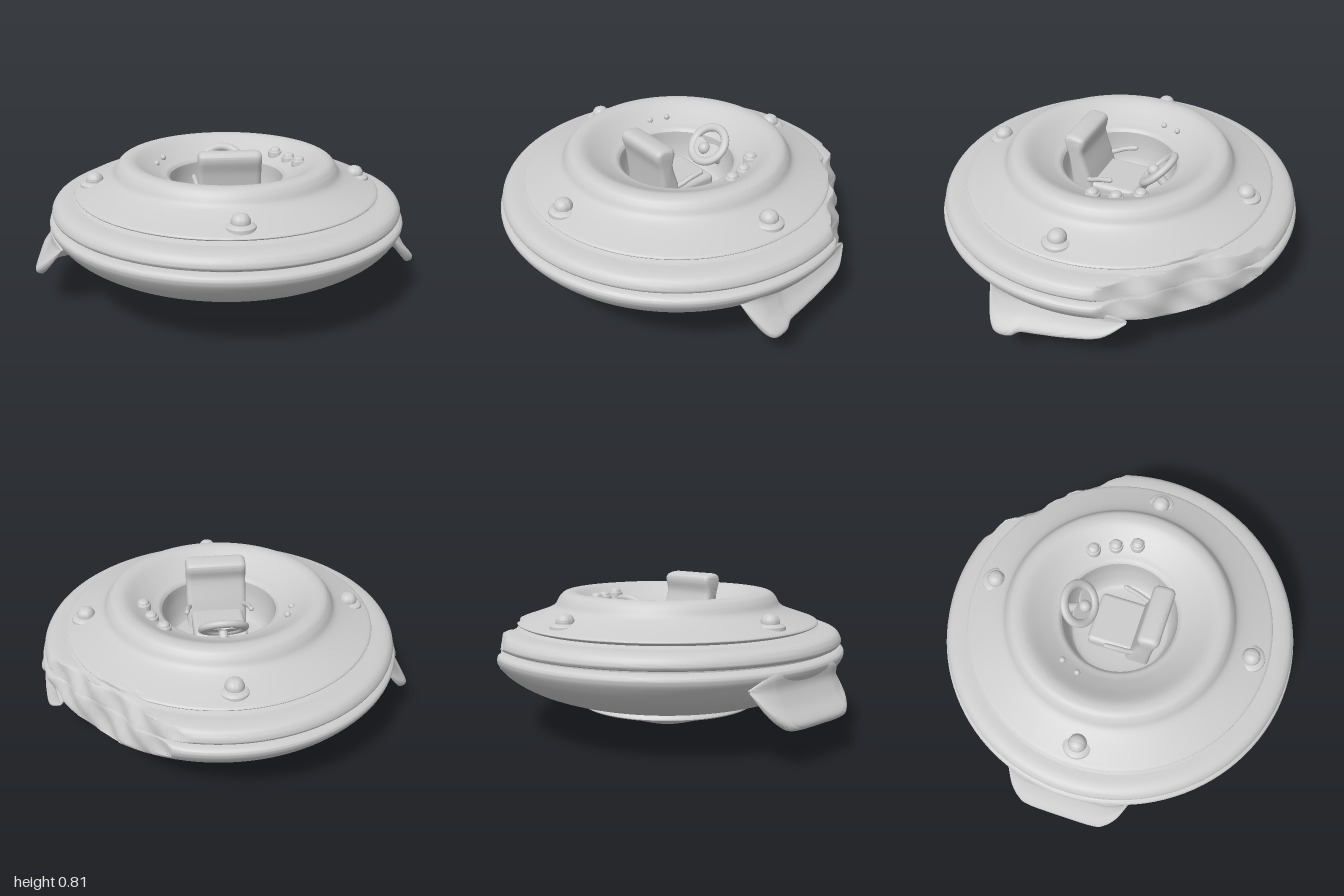
import * as THREE from 'three';
import { toCreasedNormals } from 'three/addons/utils/BufferGeometryUtils.js';
import { RoundedBoxGeometry } from 'three/addons/geometries/RoundedBoxGeometry.js';

const material = new THREE.MeshStandardMaterial({ color: 0xcccccc, side: THREE.DoubleSide });
const CX = 0.012; // axis of the saucer body

function add(parent, name, geometry, x = 0, y = 0, z = 0) {
  const mesh = new THREE.Mesh(geometry, material);
  mesh.name = name;
  mesh.position.set(x, y, z);
  parent.add(mesh);
  return mesh;
}

// Smooth curve through each run of [r, y] points, sharp where runs meet
function profile(runs) {
  const points = [];
  runs.forEach((run, i) => {
    const curve = new THREE.SplineCurve(run.map(([x, y]) => new THREE.Vector2(x, y)));
    const pts = curve.getPoints((run.length - 1) * 5);
    points.push(...(i ? pts.slice(1) : pts));
  });
  points.forEach((p) => { p.x = Math.max(p.x, 0); });
  return points;
}

function lathe(runs, segments) {
  return new THREE.LatheGeometry(profile(runs), segments);
}

// Crash damage: the rear left flank is pressed in towards a rippled plane
function dent(geometry) {
  const p = geometry.attributes.position;
  const nx = 0.72, nz = -0.694;
  for (let i = 0; i < p.count; i++) {
    const x = p.getX(i), y = p.getY(i), z = p.getZ(i);
    const d = x * nx + z * nz, t = x * -nz + z * nx; // across and along the dent
    if (d < 0.6 || y < 0.2) continue;
    const slope = y > 0.45 ? -0.35 * (y - 0.45) : 0.2 * (0.45 - y);
    const ripple = 0.014 * Math.sin(t * 17 + y * 12) + 0.009 * Math.sin(t * 31 - y * 38);
    const limit = 0.83 + slope + ripple;
    if (d > limit) {
      const push = (d - limit) * 0.96;
      p.setXYZ(i, x - nx * push, y + 0.25 * ripple, z - nz * push);
    }
  }
  return toCreasedNormals(geometry, 0.6);
}

// Fin: one cross-section lofted along z; stations are [z, reach]
function fin(stations, side) {
  const anchor = new THREE.Vector2(0.84, 0.36);
  const outline = [[0.9, 0.44], [0.905, 0.36], [0.945, 0.28], [0.998, 0.215], [0.995, 0.185],
    [0.965, 0.178], [0.935, 0.21], [0.88, 0.27], [0.78, 0.3], [0.76, 0.4]];
  const section = new THREE.CatmullRomCurve3(
    outline.map(([x, y]) => new THREE.Vector3(x, y, 0)), true, 'catmullrom', 0.4).getPoints(40);
  const path = new THREE.SplineCurve(stations.map(([z, k]) => new THREE.Vector2(z, k))).getPoints(48);
  const positions = [], index = [], n = section.length;
  path.forEach(({ x: z, y: reach }, i) => {
    section.forEach((s, j) => {
      positions.push(side * (anchor.x + (s.x - anchor.x) * reach), anchor.y + (s.y - anchor.y) * reach, z);
      if (i && j) {
        const a = (i - 1) * n + j - 1, b = i * n + j - 1, c = b + 1, d = a + 1;
        index.push(...(side > 0 ? [a, b, c, a, c, d] : [a, c, b, a, d, c]));
      }
    });
  });
  const geometry = new THREE.BufferGeometry();
  geometry.setAttribute('position', new THREE.Float32BufferAttribute(positions, 3));
  geometry.setIndex(index);
  return toCreasedNormals(geometry, 0.8);
}

function createSeat() {
  const seat = new THREE.Group();
  seat.name = 'seat';
  // Backrest side profile in (z, y), extruded across the width
  const side = new THREE.Shape();
  side.moveTo(0.1, 0.47);
  side.splineThru([[0.13, 0.58], [0.165, 0.7], [0.155, 0.77], [0.165, 0.785], [0.215, 0.79],
    [0.225, 0.77], [0.205, 0.7], [0.19, 0.58], [0.18, 0.47]].map(([x, y]) => new THREE.Vector2(x, y)));
  const back = new THREE.ExtrudeGeometry(side, {
    depth: 0.26, bevelEnabled: true, bevelSize: 0.022, bevelThickness: 0.03, bevelSegments: 5, curveSegments: 30 });
  back.translate(0, 0, -0.13);
  back.rotateY(-Math.PI / 2);
  add(seat, 'backrest', toCreasedNormals(back, 0.7));
  add(seat, 'cushion', new RoundedBoxGeometry(0.28, 0.09, 0.3, 4, 0.025), 0, 0.5, 0.01);
  add(seat, 'seatPedestal', new THREE.CylinderGeometry(0.07, 0.09, 0.08, 24), 0, 0.44, 0.03);
  for (const s of [-1, 1]) {
    const arm = new THREE.CatmullRomCurve3([[0.13, 0.56, 0.16], [0.15, 0.575, 0.1], [0.162, 0.6, 0.04],
      [0.17, 0.615, -0.02]].map(([x, y, z]) => new THREE.Vector3(s * x, y, z)));
    add(seat, 'armrest', new THREE.TubeGeometry(arm, 16, 0.013, 8));
    add(seat, 'armrestTip', new THREE.SphereGeometry(0.013, 10, 8), s * 0.17, 0.615, -0.02);
  }
  return seat;
}

function createSteeringWheel() {
  const wheel = new THREE.Group();
  wheel.name = 'steeringWheel';
  const rim = new THREE.TorusGeometry(0.106, 0.024, 14, 48);
  rim.scale(1, 0.95, 0.8);
  add(wheel, 'wheelRim', rim);
  // Solid lower half with a round hub
  const plate = new THREE.Shape();
  plate.absarc(0, 0, 0.105, Math.PI, 2 * Math.PI);
  plate.quadraticCurveTo(0.06, 0.03, 0, 0.0);
  plate.quadraticCurveTo(-0.06, 0.03, -0.105, 0);
  add(wheel, 'wheelPlate', new THREE.ExtrudeGeometry(plate, { depth: 0.014, bevelEnabled: false, curveSegments: 24 }), 0, 0, -0.008);
  add(wheel, 'wheelHub', new THREE.SphereGeometry(0.033, 20, 14), 0, -0.03, 0.01);
  const column = add(wheel, 'steeringColumn', new THREE.CylinderGeometry(0.022, 0.03, 0.2, 16), 0, -0.03, -0.1);
  column.rotation.x = Math.PI / 2;
  wheel.position.set(0, 0.635, -0.22);
  wheel.rotation.x = -0.8;
  return wheel;
}

export function createModel() {
  const model = new THREE.Group();
  model.name = 'flyingSaucer';
  const body = new THREE.Group();
  body.name = 'body';
  body.position.x = CX;
  model.add(body);

  // Hull: belly, two rim bands, upper deck, collar and cockpit well
  const hull = lathe([
    [[0, 0.15], [0.25, 0.15], [0.45, 0.162], [0.6, 0.19], [0.75, 0.245], [0.86, 0.315], [0.92, 0.385], [0.936, 0.425], [0.922, 0.447], [0.885, 0.455]],
    [[0.885, 0.455], [0.885, 0.465]],
    [[0.885, 0.465], [0.91, 0.468], [0.92, 0.49], [0.9, 0.525], [0.86, 0.54], [0.8, 0.545]],
    [[0.8, 0.545], [0.77, 0.555]],
    [[0.77, 0.555], [0.797, 0.567], [0.795, 0.578], [0.76, 0.59]],
    [[0.76, 0.59], [0.66, 0.625], [0.605, 0.655], [0.58, 0.695], [0.555, 0.722], [0.52, 0.73], [0.48, 0.722], [0.41, 0.682], [0.35, 0.652], [0.315, 0.64], [0.3, 0.625]],
    [[0.3, 0.625], [0.295, 0.54], [0.27, 0.45], [0.22, 0.42], [0, 0.415]],
  ], 112);
  add(body, 'hull', dent(hull));

  // Shallow dish under the belly
  const dish = lathe([
    [[0, 0], [0.06, 0.004], [0.14, 0.022], [0.28, 0.068], [0.4, 0.105], [0.468, 0.125]],
    [[0.468, 0.125], [0.472, 0.135], [0.445, 0.165]],
    [[0.445, 0.165], [0, 0.17]],
  ], 80);
  add(body, 'bellyDish', toCreasedNormals(dish, 0.5));

  // Four lamps on the deck
  const lamp = toCreasedNormals(lathe([
    [[0.072, -0.03], [0.075, 0.004], [0.066, 0.016], [0.046, 0.022]],
    [[0.046, 0.022], [0.045, 0.038], [0.033, 0.058], [0.015, 0.067], [0, 0.069]],
  ], 32), 0.6);
  for (let i = 0; i < 4; i++) {
    const a = i * Math.PI / 2;
    add(body, 'deckLamp', lamp, 0.695 * Math.sin(a), 0.594, 0.695 * Math.cos(a) + 0.008);
  }

  // Buttons around the cockpit
  const knob = toCreasedNormals(lathe([
    [[0.038, -0.03], [0.038, 0.004], [0.031, 0.01]],
    [[0.031, 0.01], [0.026, 0.022], [0.013, 0.03], [0, 0.032]],
  ], 24), 0.6);
  for (const [x, y, z] of [[0.3, 0.677, -0.245], [0.36, 0.672, -0.14], [0.395, 0.682, -0.03]]) {
    add(body, 'controlKnob', knob, x, y, z);
  }
  for (const [x, y, z] of [[-0.33, 0.677, -0.195], [-0.367, 0.67, -0.105]]) {
    add(body, 'smallButton', new THREE.SphereGeometry(0.016, 14, 10), x, y, z);
  }

  body.add(createSeat(), createSteeringWheel());

  // Whole fin on the right, broken fin on the left
  add(model, 'rightFin', fin([[-0.33, 0.05], [-0.29, 0.55], [-0.24, 0.85], [-0.18, 0.98], [0, 1],
    [0.18, 0.98], [0.24, 0.85], [0.29, 0.55], [0.33, 0.05]], -1));
  add(model, 'leftFin', fin([[-0.4, 0.05], [-0.3, 0.45], [-0.15, 0.64], [0, 0.76], [0.09, 0.83],
    [0.14, 0.97], [0.22, 0.96], [0.27, 0.6], [0.31, 0.05]], 1));
  return model;
}
